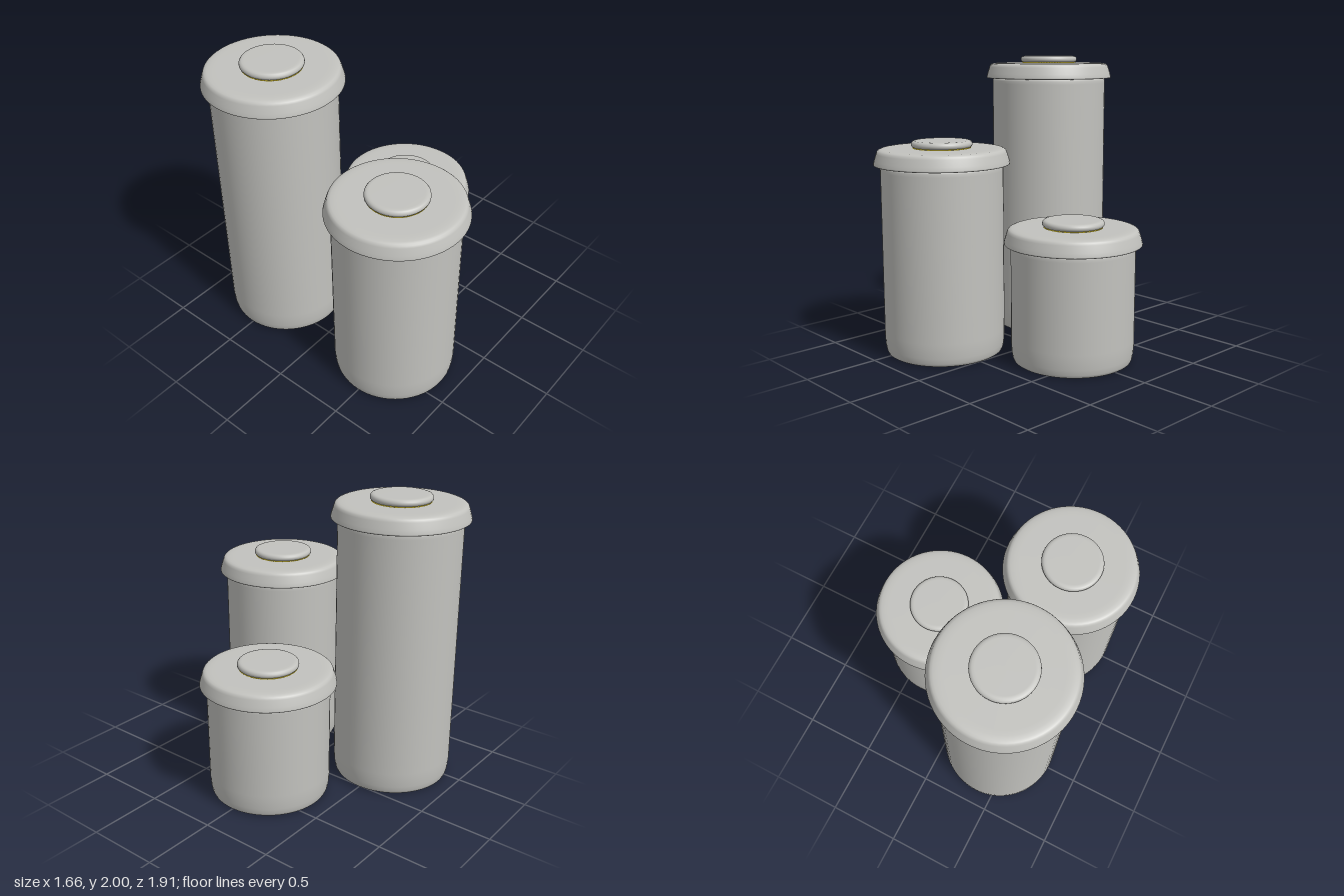
import * as THREE from 'three';

const greyMetal = new THREE.MeshStandardMaterial({ color: 0xc2c2be });
greyMetal.name = 'grey metal';
const yellowSeal = new THREE.MeshStandardMaterial({ color: 0xc8b432 });
yellowSeal.name = 'yellow seal';

// Turned solid from [radius, height] pairs, listed from the bottom up
function turned(name, profile, material, y = 0) {
  const points = profile.map(([r, h]) => new THREE.Vector2(r, h));
  const mesh = new THREE.Mesh(new THREE.LatheGeometry(points, 64), material);
  mesh.name = name;
  mesh.position.y = y;
  return mesh;
}

// One canister; height is where the body meets the lid
function canister(name, x, z, height) {
  const group = new THREE.Group();
  group.name = name;
  group.position.set(x, 0, z);

  // Body with softly rounded foot and shoulder
  group.add(turned('body', [
    [0, 0], [0.36, 0], [0.385, 0.002], [0.395, 0.008], [0.402, 0.025], [0.408, 0.06], [0.412, 0.12], [0.412, 0.16],
    [0.412, height - 0.04], [0.412, height - 0.02], [0.408, height - 0.006], [0.395, height], [0, height],
  ], greyMetal));

  // Flared lid with a rounded top rim
  group.add(turned('lid', [
    [0, 0], [0.44, 0], [0.452, 0.001], [0.456, 0.004], [0.456, 0.012], [0.45, 0.035], [0.436, 0.08],
    [0.43, 0.094], [0.42, 0.102], [0.405, 0.107], [0.38, 0.109], [0.35, 0.11], [0, 0.11],
  ], greyMetal, height - 0.005));

  // Thin seal between lid and knob
  group.add(turned('knobSeal', [
    [0, 0], [0.196, 0], [0.196, 0.008], [0, 0.008],
  ], yellowSeal, height + 0.104));

  // Flat round knob
  group.add(turned('knob', [
    [0, 0], [0.185, 0], [0.197, 0.004], [0.204, 0.013], [0.205, 0.022], [0.203, 0.032],
    [0.196, 0.041], [0.185, 0.045], [0.17, 0.046], [0, 0.046],
  ], greyMetal, height + 0.109));
  return group;
}

export function createModel() {
  const model = new THREE.Group();
  model.name = 'canisterSet';
  model.add(
    canister('tallCanister', -0.377, -0.503, 1.845),
    canister('mediumCanister', -0.377, 0.497, 1.295),
    canister('shortCanister', 0.373, 0.003, 0.795),
  );
  return model;
}
